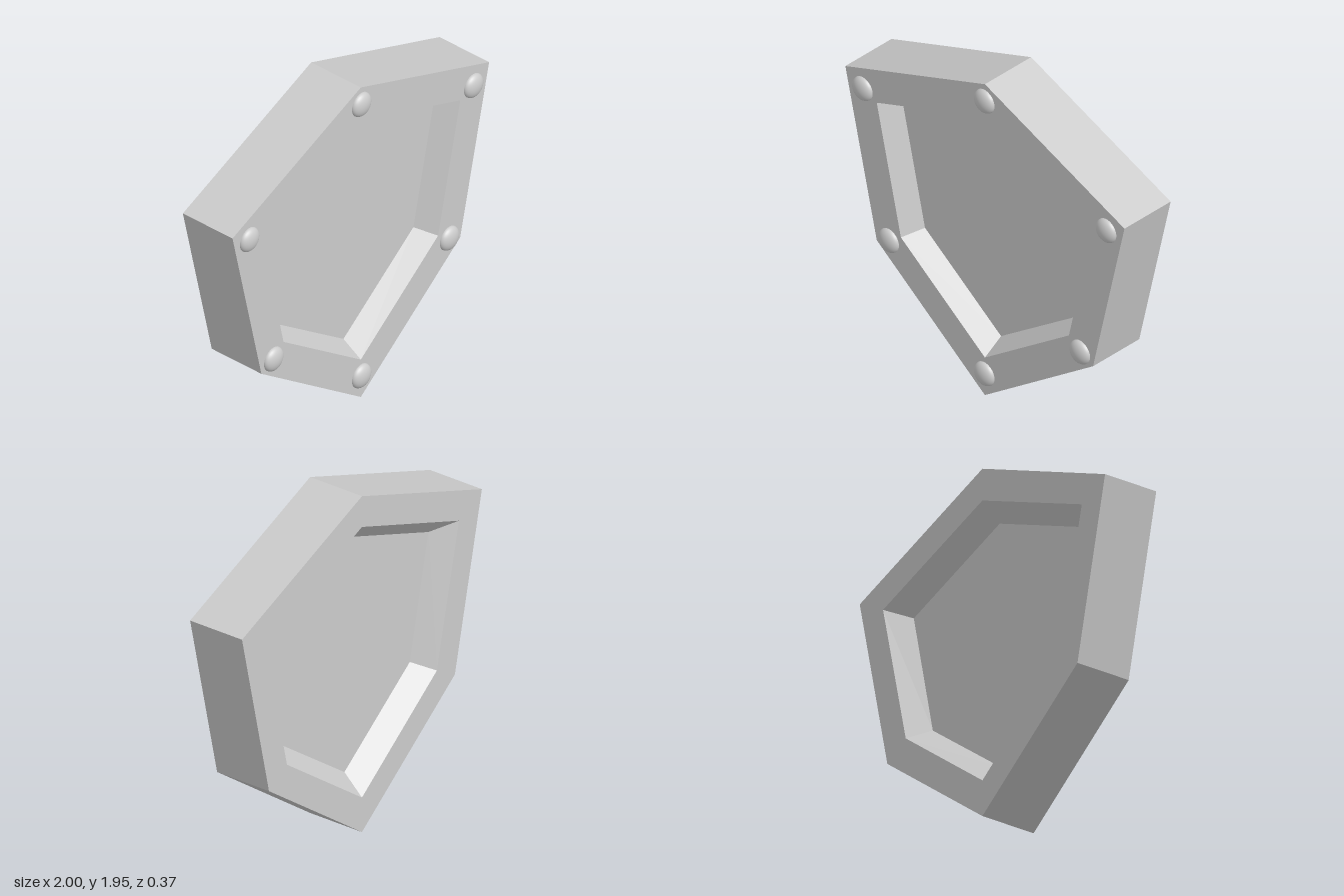
import * as THREE from 'three';

const FRONT = 0.147, BACK = -0.185;

// Mirrored six-sided loop, counter-clockwise from the front:
// bottom y, lower side corner, upper side corner, top y
function loop(bottom, [lx, ly], [ux, uy], top, z) {
  return [[0, bottom], [lx, ly], [ux, uy], [0, top], [-ux, uy], [-lx, ly]]
    .map(([x, y]) => [x, y, z]);
}

// Skin consecutive loops with flat quads and cap both ends
function loft(loops) {
  const pos = [];
  const tri = (...corners) => corners.forEach((c) => pos.push(...c));
  const n = loops[0].length;
  for (let k = 0; k < loops.length - 1; k++) {
    const a = loops[k], b = loops[k + 1];
    for (let i = 0; i < n; i++) {
      const j = (i + 1) % n;
      tri(a[i], a[j], b[j]);
      tri(a[i], b[j], b[i]);
    }
  }
  const first = loops[0], last = loops[loops.length - 1];
  for (let i = 1; i < n - 1; i++) {
    tri(first[0], first[i + 1], first[i]);
    tri(last[0], last[i], last[i + 1]);
  }
  const geo = new THREE.BufferGeometry();
  geo.setAttribute('position', new THREE.Float32BufferAttribute(pos, 3));
  geo.computeVertexNormals();
  return geo;
}

export function createModel() {
  const model = new THREE.Group();
  model.name = 'shieldPanel';
  const grey = new THREE.MeshStandardMaterial({ color: 0xcccccc });

  // Thick frame with a bevelled recess on both faces around a thin panel
  const outline = (z) => loop(0, [0.775, 0.575], [1, 1.55], 1.945, z);
  const floor = (z) => loop(0.31, [0.545, 0.71], [0.7, 1.395], 1.67, z);
  const frame = new THREE.Mesh(loft([
    floor(BACK + 0.112),
    loop(0.2, [0.625, 0.663], [0.81, 1.45], 1.767, BACK),
    outline(BACK),
    outline(FRONT),
    loop(0.235, [0.602, 0.68], [0.775, 1.435], 1.74, FRONT),
    floor(FRONT - 0.116),
  ]), grey);
  frame.name = 'recessedFrame';
  model.add(frame);

  // Flattened dome rivets at the front corners
  const dome = new THREE.SphereGeometry(0.069, 32, 12, 0, Math.PI * 2, 0, Math.PI / 2);
  dome.rotateX(Math.PI / 2);
  dome.scale(1, 1, 0.038 / 0.069);
  const rivets = new THREE.Group();
  rivets.name = 'rivets';
  for (const [x, y] of loop(0.135, [0.685, 0.62], [0.873, 1.475], 1.84, 0)) {
    const rivet = new THREE.Mesh(dome, grey);
    rivet.name = 'rivet';
    rivet.position.set(x, y, FRONT);
    rivets.add(rivet);
  }
  model.add(rivets);
  return model;
}
